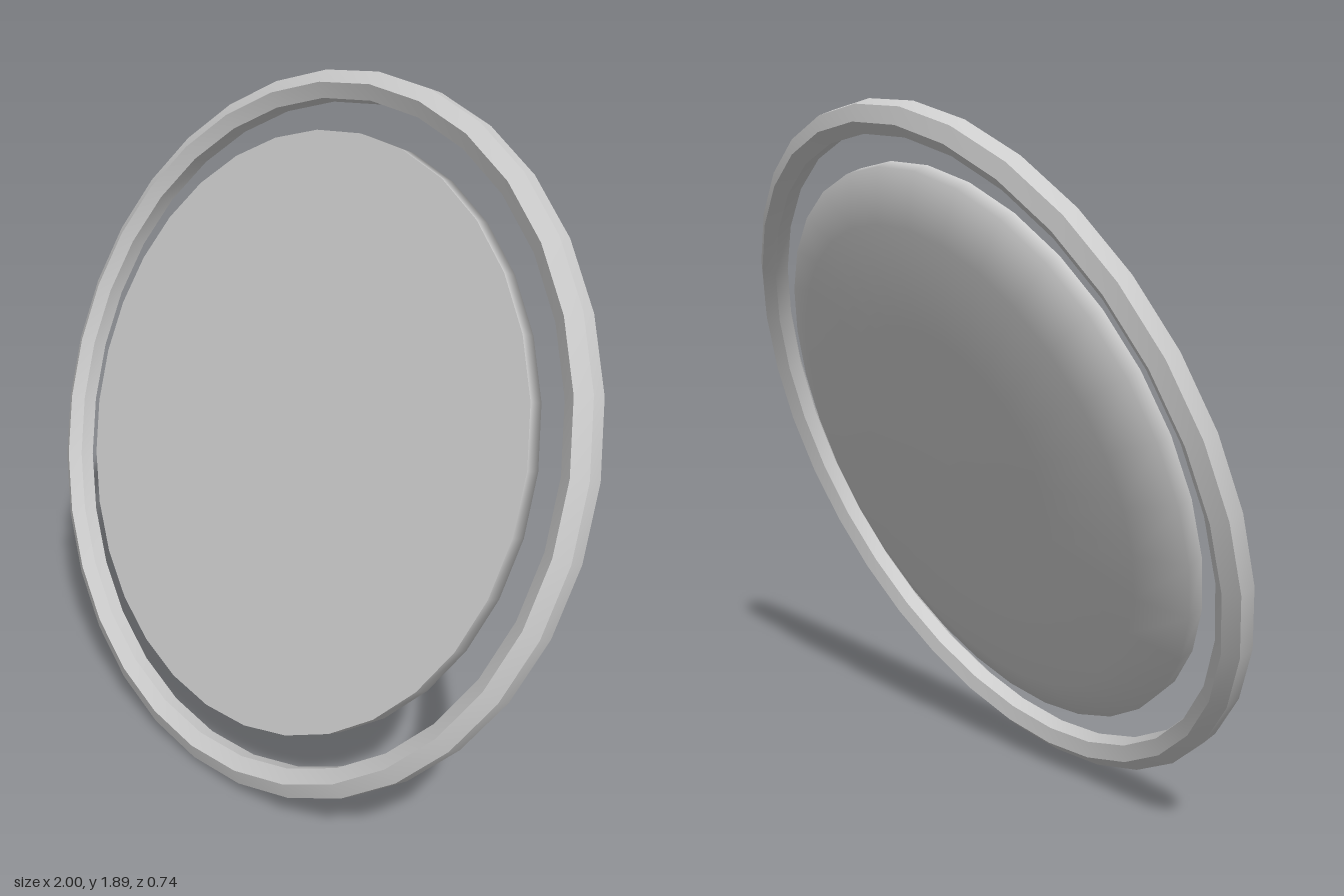
import * as THREE from 'three';
import { toCreasedNormals } from 'three/addons/utils/BufferGeometryUtils.js';

const SEGMENTS = 32;

export function createModel() {
  const model = new THREE.Group();
  model.name = 'tiltedDiscInRing';

  const grey = new THREE.MeshStandardMaterial({ color: 0xcccccc });
  grey.name = 'lightGrey';

  // Everything turns about one axis (local y), which points forward and slightly up
  const tilted = new THREE.Group();
  tilted.name = 'tiltedAssembly';
  tilted.position.y = 0.947;
  tilted.rotation.x = THREE.MathUtils.degToRad(70);
  model.add(tilted);

  const add = (name, geometry) => {
    const mesh = new THREE.Mesh(geometry, grey);
    mesh.name = name;
    tilted.add(mesh);
    return mesh;
  };

  // Outer ring: hexagonal bar with an edge facing the front and the back
  const hexagon = [];
  for (let i = 0; i <= 6; i++) {
    const a = Math.PI / 6 + (i * Math.PI) / 3;
    hexagon.push(new THREE.Vector2(0.961 + 0.045 * Math.cos(a), 0.045 * Math.sin(a)));
  }
  add('outerRing', toCreasedNormals(new THREE.LatheGeometry(hexagon, SEGMENTS), 0.6));

  // Disc body: shallow domed back, sloped shoulder and upright rim
  const profile = [
    [0, -0.08], [0.4, -0.077], [0.697, -0.067], [0.833, -0.015], [0.833, 0.03],
  ].map(([r, y]) => new THREE.Vector2(r, y));
  add('discBack', new THREE.LatheGeometry(profile, SEGMENTS));

  // Flat front of the disc
  const face = new THREE.CircleGeometry(0.833, SEGMENTS);
  face.rotateX(-Math.PI / 2);
  add('discFront', face).position.y = 0.03;

  return model;
}
